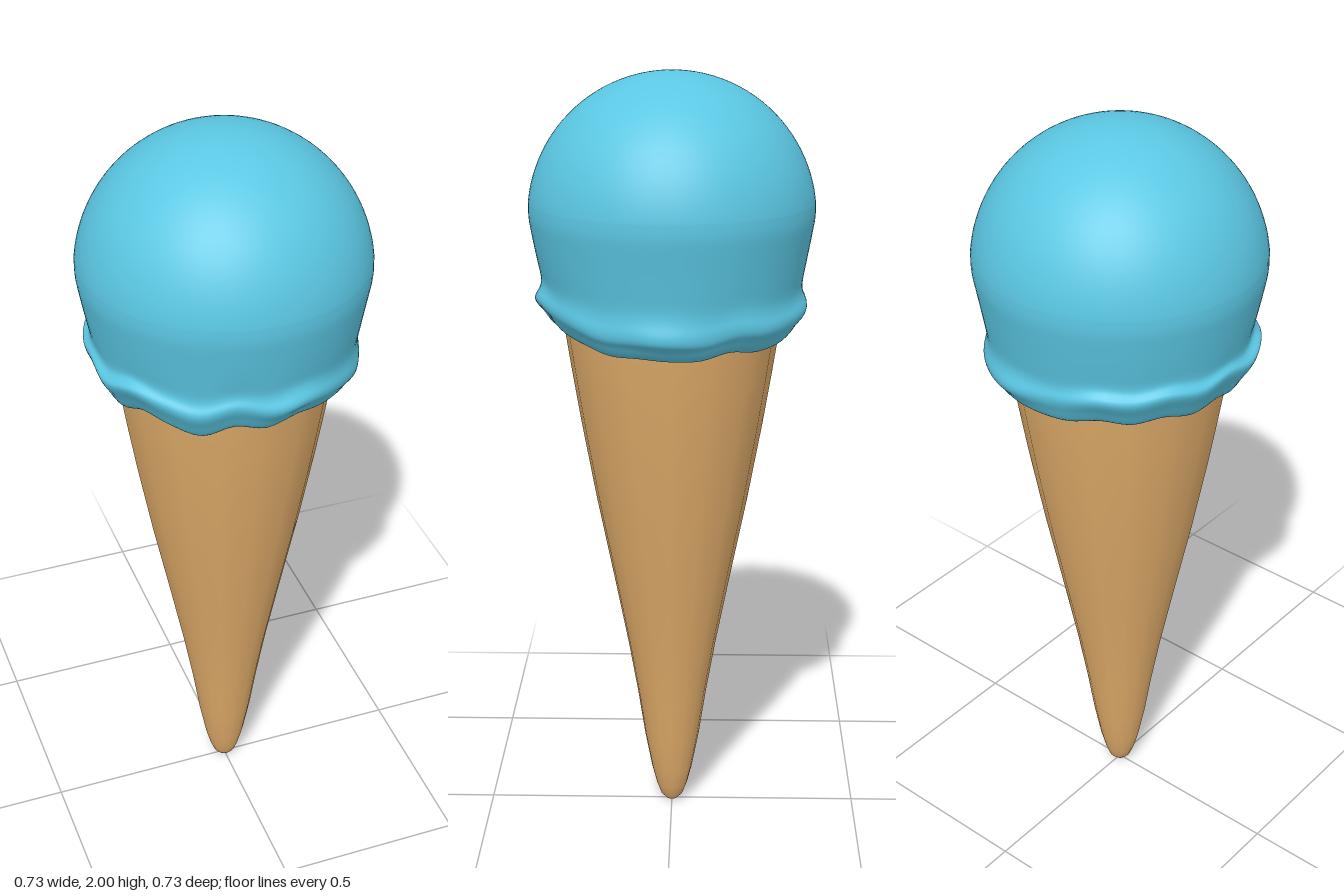
import * as THREE from 'three';
import { mergeVertices } from 'three/addons/utils/BufferGeometryUtils.js';

// Height of the melted rim every 15 degrees, starting at the front and turning to +x
const RIM = [
  1.355, 1.37, 1.36, 1.35, 1.335, 1.335, 1.33, 1.33, 1.345, 1.335, 1.335, 1.34,
  1.345, 1.35, 1.365, 1.355, 1.365, 1.35, 1.36, 1.345, 1.37, 1.355, 1.34, 1.37,
];

// Smooth closed interpolation of the rim heights
function rimHeight(angle) {
  const n = RIM.length;
  const t = ((angle / (Math.PI * 2)) * n + n) % n;
  const i = Math.floor(t), f = t - i;
  const [a, b, c, d] = [-1, 0, 1, 2].map((k) => RIM[(i + k + n) % n]);
  return b + 0.5 * f * (c - a + f * (2 * a - 5 * b + 4 * c - d + f * (3 * (b - c) + d - a)));
}

const toPoints = (pairs) => pairs.map(([r, y]) => new THREE.Vector2(r, y));

// Lathe whose seam and poles are welded for continuous smooth normals
function weld(geometry) {
  geometry.deleteAttribute('uv');
  geometry.deleteAttribute('normal');
  const welded = mergeVertices(geometry, 1e-5);
  welded.computeVertexNormals();
  return welded;
}

function createCone() {
  const profile = toPoints([
    [0, 0], [0.016, 0.003], [0.03, 0.018], [0.042, 0.05], [0.055, 0.1], [0.074, 0.2],
    [0.092, 0.32], [0.118, 0.47], [0.155, 0.66], [0.199, 0.88], [0.237, 1.09],
    [0.26, 1.23], [0.28, 1.36], [0.283, 1.4],
  ]);
  return weld(new THREE.LatheGeometry(profile, 16));
}

function createScoop() {
  // Underside, rolled skirt and crease, then straight sides
  const lower = new THREE.SplineCurve(toPoints([
    [0.25, 1.385], [0.268, 1.36], [0.288, 1.346], [0.308, 1.357], [0.326, 1.385],
    [0.342, 1.41], [0.345, 1.43], [0.336, 1.452], [0.334, 1.475], [0.342, 1.52],
    [0.355, 1.59], [0.363, 1.64], [0.363, 1.68],
  ])).getPoints(48);
  // Dome
  const dome = [];
  for (let i = 1; i <= 24; i++) {
    const a = 0.12 + (i / 24) * (Math.PI / 2 - 0.12);
    dome.push(new THREE.Vector2(i === 24 ? 0 : 0.366 * Math.cos(a), 1.635 + 0.365 * Math.sin(a)));
  }
  const geometry = new THREE.LatheGeometry([...lower, ...dome], 96);

  // Ripple the skirt, fading out up the sides
  const p = geometry.attributes.position;
  for (let i = 0; i < p.count; i++) {
    const x = p.getX(i), y = p.getY(i), z = p.getZ(i);
    const fade = 1 - THREE.MathUtils.smoothstep(y, 1.39, 1.58);
    if (fade === 0) continue;
    const angle = Math.atan2(x, z);
    const skirt = Math.exp(-(((y - 1.42) / 0.035) ** 2));
    const lift = (rimHeight(angle) - 1.348) * fade - 0.018 * Math.sin(angle) * skirt;
    const swell = 1 + skirt * (0.012 * Math.sin(5 * angle + 0.6) - 0.018 * Math.sin(angle) + 0.008 * Math.sin(9 * angle));
    p.setXYZ(i, x * swell, y + lift, z * swell);
  }
  return weld(geometry);
}

export function createModel() {
  const wafer = new THREE.MeshStandardMaterial({ color: 0xdfab69 });
  wafer.name = 'wafer tan';
  wafer.side = THREE.DoubleSide;
  const ice = new THREE.MeshStandardMaterial({ color: 0x5bc7e3 });
  ice.name = 'ice blue';

  const model = new THREE.Group();
  model.name = 'iceCreamCone';
  for (const [name, geometry, material] of [
    ['cone', createCone(), wafer],
    ['scoop', createScoop(), ice],
  ]) {
    const mesh = new THREE.Mesh(geometry, material);
    mesh.name = name;
    model.add(mesh);
  }
  return model;
}
